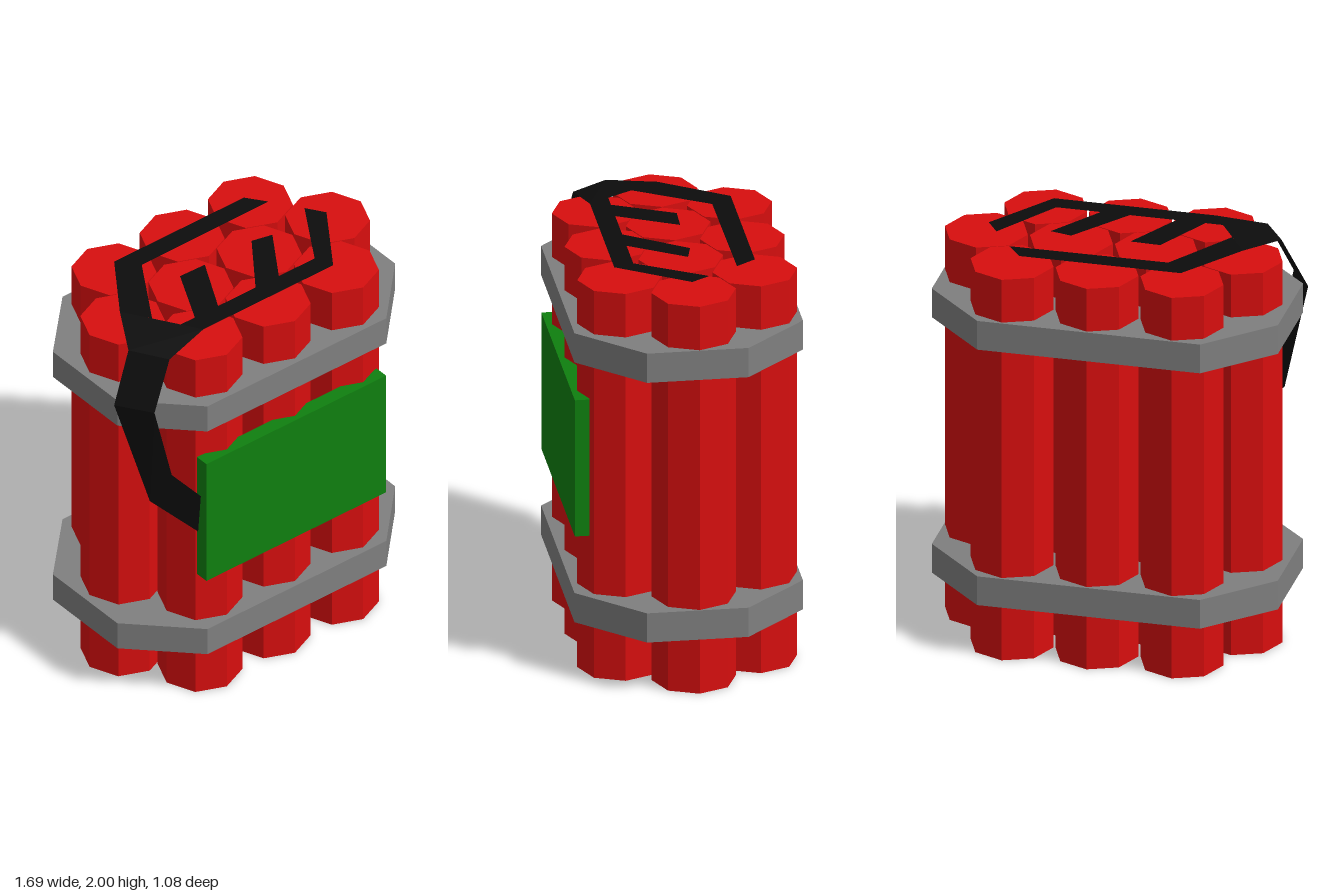
import * as THREE from 'three';

const material = (name, color, extra = {}) =>
  Object.assign(new THREE.MeshStandardMaterial({ color, ...extra }), { name });

// Shape lying in the ground plane, from [x, z] points
const planShape = (points) => new THREE.Shape(points.map(([x, z]) => new THREE.Vector2(x, -z)));

export function createModel() {
  const model = new THREE.Group();
  const red = material('stick red', 0xd80e0e, { flatShading: true });
  const grey = material('strap grey', 0x7f7f7f, { flatShading: true });
  const green = material('panel green', 0x0f800f, { flatShading: true });
  const black = material('wire black', 0x0c0c0c, { flatShading: true, side: THREE.DoubleSide });

  const add = (name, geometry, mat, x = 0, y = 0, z = 0) => {
    const mesh = new THREE.Mesh(geometry, mat);
    mesh.name = name;
    mesh.position.set(x, y, z);
    model.add(mesh);
  };

  // Ten octagonal sticks in rows of three, four and three
  const stick = new THREE.CylinderGeometry(0.2, 0.2, 1.96, 8);
  const rows = [[3, -0.385, -0.33], [4, -0.59, -0.01], [3, -0.385, 0.31]];
  for (const [count, startX, z] of rows) {
    for (let i = 0; i < count; i++) add('stick', stick, red, startX + i * 0.41, 0.98, z);
  }

  // Two solid eight-sided straps
  const strap = new THREE.ExtrudeGeometry(planShape([
    [-0.825, 0.24], [-0.525, 0.54], [0.55, 0.54], [0.845, 0.24],
    [0.845, -0.24], [0.55, -0.54], [-0.525, -0.54], [-0.825, -0.24],
  ]), { depth: 0.148, bevelEnabled: false }).rotateX(-Math.PI / 2);
  add('lowerStrap', strap, grey, 0, 0.276);
  add('upperStrap', strap, grey, 0, 1.592);

  // Control panel on the front
  add('frontPanel', new THREE.BoxGeometry(1.08, 0.69, 0.07), green, 0.01, 1.055, 0.503);

  // Flat wires over the stick tops: rear branch and front comb
  const rearBranch = planShape([
    [0.47, -0.24], [0.4, -0.335], [-0.38, -0.335], [-0.6, -0.02], [-0.515, 0.115], [-0.295, -0.235],
  ]);
  const frontComb = planShape([
    [-0.44, 0.235], [-0.38, 0.33], [0.4, 0.33], [0.63, -0.005], [0.57, -0.095],
    [0.365, 0.235], [0.15, 0.235], [0.325, -0.03], [0.22, -0.055], [0.01, 0.235],
    [-0.215, 0.235], [-0.065, -0.05], [-0.21, -0.055], [-0.355, 0.235],
  ]);
  add('topWires', new THREE.ShapeGeometry([rearBranch, frontComb]).rotateX(-Math.PI / 2), black, 0, 2);

  // Ribbon wire folding down the side to the panel, as pairs of edge points
  const pairs = [
    [[-0.6, 2, -0.02], [-0.38, 2, 0.33]],
    [[-0.73, 1.97, 0.205], [-0.62, 1.965, 0.375]],
    [[-0.848, 1.727, 0.245], [-0.737, 1.725, 0.408]],
    [[-0.71, 1.15, 0.34], [-0.643, 1.32, 0.42]],
    [[-0.525, 0.96, 0.48], [-0.525, 1.18, 0.5]],
  ];
  const index = [];
  for (let i = 0; i < pairs.length - 1; i++) {
    const a = i * 2;
    index.push(a, a + 2, a + 1, a + 1, a + 2, a + 3);
  }
  const ribbon = new THREE.BufferGeometry();
  ribbon.setAttribute('position', new THREE.Float32BufferAttribute(pairs.flat(2), 3));
  ribbon.setIndex(index);
  ribbon.computeVertexNormals();
  add('sideWire', ribbon, black);

  return model;
}
